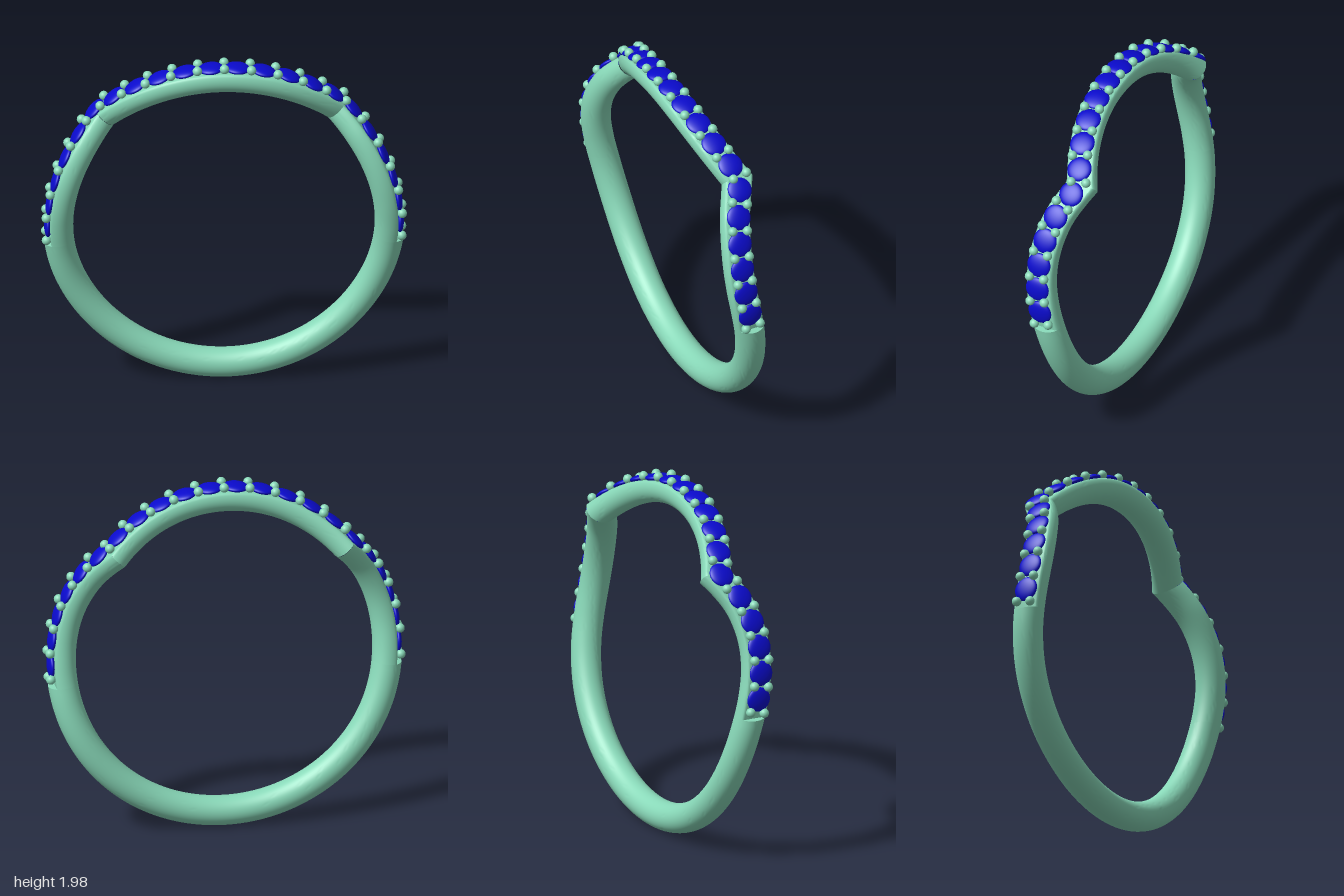
import * as THREE from 'three';
import { toCreasedNormals } from 'three/addons/utils/BufferGeometryUtils.js';

const RAD = Math.PI / 180;
const CENTRE_Y = 0.985, RING_R = 0.9, TUBE_R = 0.082;
const SEAT = 0.045;       // height of the flattened gem seat above the tube axis
const STEP = 8.6;         // degrees between gems
const GEM_END = 97;       // where the gem seat stops
const KINK = { right: 43.5, left: 46.5 };

// Sideways sweep of the band below the kink, by degrees from the top
const bend = new THREE.CubicInterpolant(
  [43.5, 48, 55.6, 64.5, 73.5, 82, 91, 103, 117, 135, 155, 180],
  [-0.062, -0.032, 0.012, 0.041, 0.052, 0.045, 0.023, -0.012, -0.042, -0.06, -0.064, -0.064],
  1, new Float32Array(1));

function bandZ(deg) {
  const d = deg > 180 ? deg - 360 : deg;
  const kink = d > 0 ? KINK.right : KINK.left;
  const a = Math.abs(d);
  if (a < kink) return 0.067 - 0.129 * Math.pow(a / kink, 2.2) - (d < 0 ? 0.008 * Math.pow(a / kink, 4) : 0);
  if (a > 75) return bend.evaluate(Math.min(a, 180))[0];
  const t = (75 - a) / (75 - kink);
  return bend.evaluate(75 - t * 31.5)[0] - (d < 0 ? 0.008 * t ** 4 : 0);
}

const radial = (deg) => new THREE.Vector3(Math.sin(deg * RAD), Math.cos(deg * RAD), 0);

function pathPoint(deg, radius = RING_R) {
  const p = radial(deg).multiplyScalar(radius);
  return p.setY(p.y + CENTRE_Y).setZ(bandZ(deg));
}

// One stretch of band: cross-sections lie in the radial plane, so stretches meet in a mitre
function bandSection(from, to, top, caps) {
  const rows = Math.ceil((to - from) / 1.8), sides = 48;
  const pos = [], index = [];
  for (let i = 0; i <= rows; i++) {
    const deg = from + (to - from) * i / rows;
    const a = Math.max(from, deg - 0.5), b = Math.min(to, deg + 0.5);
    const inset = 1e-4; // stay on this stretch's side of the kink
    const slope = (bandZ(b - inset) - bandZ(a + inset)) / ((b - a - 2 * inset) * RAD * RING_R);
    const wide = Math.sqrt(1 + slope * slope);
    const n = radial(deg), c = pathPoint(deg);
    for (let j = 0; j < sides; j++) {
      const phi = j / sides * Math.PI * 2;
      const out = Math.min(Math.cos(phi) * TUBE_R, top);
      pos.push(c.x + n.x * out, c.y + n.y * out, c.z + Math.sin(phi) * TUBE_R * wide);
    }
  }
  for (let i = 0; i < rows; i++) {
    for (let j = 0; j < sides; j++) {
      const k = (j + 1) % sides;
      const a = i * sides + j, c = i * sides + k, b = a + sides, d = c + sides;
      index.push(a, c, b, b, c, d);
    }
  }
  if (caps) {
    const mid = pos.length / 3, last = rows * sides;
    pos.push(...pathPoint(from).toArray(), ...pathPoint(to).toArray());
    for (let j = 0; j < sides; j++) {
      const k = (j + 1) % sides;
      index.push(mid, k, j, mid + 1, last + j, last + k);
    }
  }
  const geo = new THREE.BufferGeometry();
  geo.setAttribute('position', new THREE.Float32BufferAttribute(pos, 3));
  geo.setIndex(index);
  return toCreasedNormals(geo, 0.6);
}

export function createModel() {
  const model = new THREE.Group();
  model.name = 'ring';
  const metal = new THREE.MeshStandardMaterial({ color: 0x88d8b8 });
  const blue = new THREE.MeshStandardMaterial({ color: 0x0a0acd });

  const add = (parent, name, geo, mat) => {
    const mesh = new THREE.Mesh(geo, mat);
    mesh.name = name;
    parent.add(mesh);
    return mesh;
  };

  // Band: arch between the kinks, two shoulders and the plain round shank
  const band = new THREE.Group();
  band.name = 'band';
  model.add(band);
  add(band, 'arch', bandSection(-KINK.left, KINK.right, SEAT, false), metal);
  add(band, 'leftShoulder', bandSection(KINK.right, GEM_END, SEAT, false), metal);
  add(band, 'rightShoulder', bandSection(-GEM_END, -KINK.left, SEAT, false), metal);
  add(band, 'shank', bandSection(GEM_END, 360 - GEM_END, TUBE_R, true), metal);

  // Local frame on the band: along, outward, across
  const frame = (deg, radius) => {
    const n = radial(deg);
    const t = pathPoint(deg + 1).sub(pathPoint(deg - 1)).normalize();
    const across = new THREE.Vector3().crossVectors(t, n).normalize();
    const along = new THREE.Vector3().crossVectors(n, across);
    return new THREE.Matrix4().makeBasis(along, n, across).setPosition(pathPoint(deg, radius));
  };

  // Gems: flattened round stones
  const gems = new THREE.Group();
  gems.name = 'gems';
  model.add(gems);
  const gemGeo = new THREE.SphereGeometry(1, 32, 20).scale(0.069, 0.021, 0.069);
  for (let k = -11; k < 11; k++) {
    add(gems, 'gem', gemGeo, blue).applyMatrix4(frame((k + 0.5) * STEP, 0.956));
  }

  // Prongs: a pair of beads between neighbouring gems
  const prongs = new THREE.Group();
  prongs.name = 'prongs';
  model.add(prongs);
  const beadGeo = new THREE.SphereGeometry(0.026, 18, 12);
  for (let k = -11; k <= 11; k++) {
    const m = frame(k * STEP, 0.968);
    for (const side of [-1, 1]) {
      const bead = add(prongs, 'prong', beadGeo, metal);
      bead.position.set(0, 0, side * 0.043).applyMatrix4(m);
    }
  }
  return model;
}
